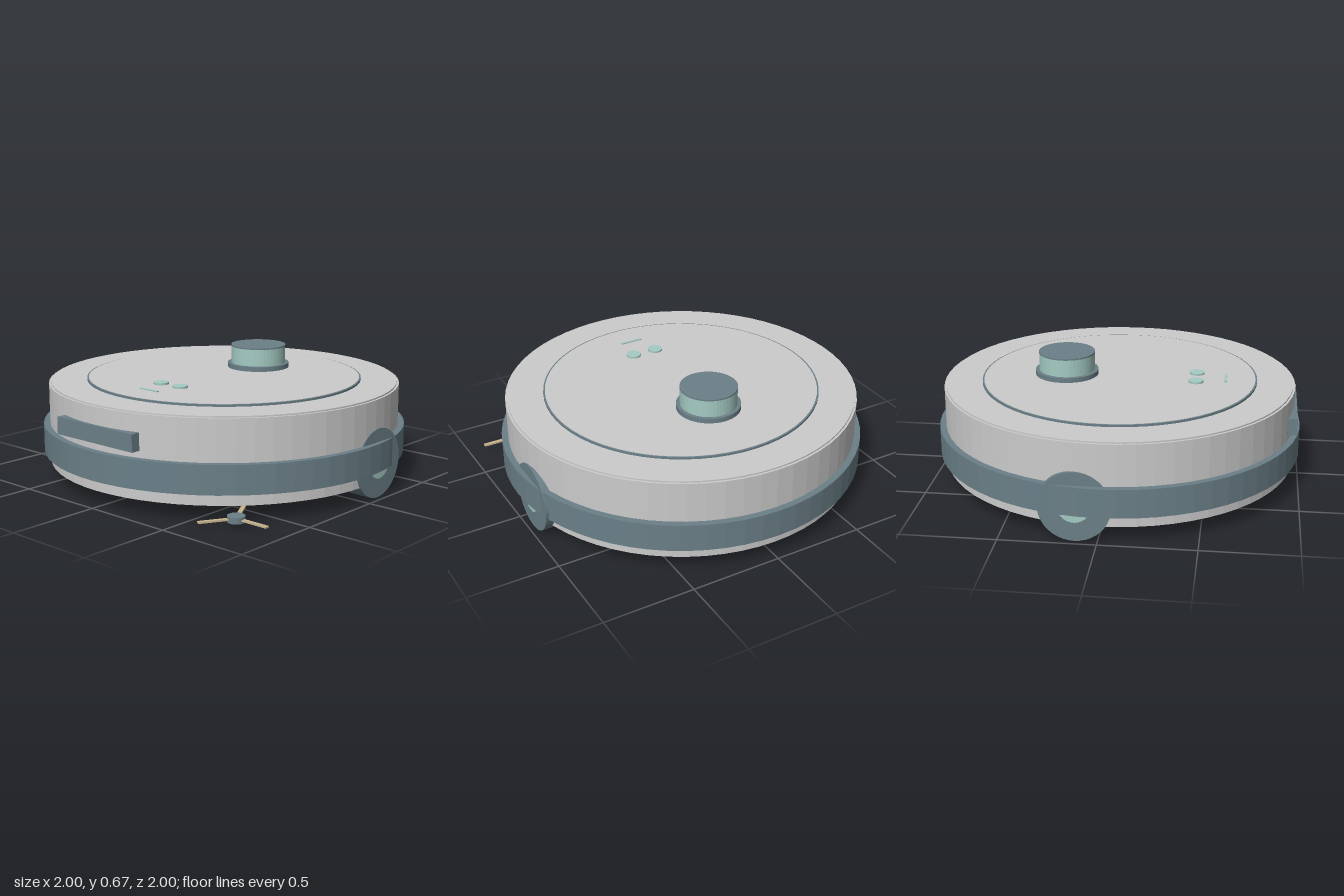
import * as THREE from 'three';

const SEG = 64;
const mat = (color) => new THREE.MeshStandardMaterial({ color, flatShading: true });

export function createModel() {
  const grey = mat(0xcccccc), slate = mat(0x6b8088), teal = mat(0xa5cbc4), tan = mat(0xc8b490);
  const model = new THREE.Group();

  const add = (name, geometry, material, x = 0, y = 0, z = 0, parent = model) => {
    const mesh = new THREE.Mesh(geometry, material);
    mesh.name = name;
    mesh.position.set(x, y, z);
    parent.add(mesh);
    return mesh;
  };
  // Upright disc between two heights
  const disc = (name, r, y0, y1, material, x = 0, z = 0, seg = SEG, parent = model) =>
    add(name, new THREE.CylinderGeometry(r, r, y1 - y0, seg), material, x, (y0 + y1) / 2, z, parent);
  // Lathe from [radius, height] pairs, bottom to top
  const lathe = (pairs) => new THREE.LatheGeometry(pairs.map(([r, y]) => new THREE.Vector2(r, y)), SEG);

  // Round body with a slightly stepped top edge
  add('body', lathe([[0, 0.087], [0.965, 0.087], [0.965, 0.525], [0.953, 0.525], [0.953, 0.533], [0, 0.533]]), grey);

  // Bumper band around the body
  add('bumper', lathe([[0.95, 0.15], [1, 0.15], [1, 0.303], [0.95, 0.303]]), slate);

  // Top cover with its dark seam
  disc('coverSeam', 0.757, 0.53, 0.544, slate);
  disc('cover', 0.748, 0.53, 0.546, grey);

  // Sensor turret
  const tz = -0.295;
  disc('turretBase', 0.174, 0.54, 0.572, slate, 0, tz, 48);
  disc('turret', 0.154, 0.57, 0.668, teal, 0, tz, 48);
  disc('turretCap', 0.155, 0.667, 0.675, slate, 0, tz, 48);

  // Buttons and status light
  for (const s of [-1, 1]) disc('button', 0.041, 0.54, 0.557, teal, s * 0.07, 0.425, 24);
  add('statusLight', new THREE.BoxGeometry(0.13, 0.01, 0.014), teal, 0, 0.547, 0.585);

  // Front sensor window
  add('frontSensor', new THREE.BoxGeometry(0.55, 0.092, 0.05), slate, 0, 0.386, 0.953);

  // Drive wheels
  for (const s of [-1, 1]) {
    const wheel = new THREE.Group();
    wheel.name = s > 0 ? 'leftWheel' : 'rightWheel';
    wheel.position.set(s * 0.911, 0.189, -0.115);
    const tyre = add('tyre', new THREE.CylinderGeometry(0.185, 0.185, 0.118, 40), slate, 0, 0, 0, wheel);
    const hub = add('hub', new THREE.CylinderGeometry(0.082, 0.082, 0.134, 28), teal, 0, 0, 0, wheel);
    tyre.rotation.z = hub.rotation.z = Math.PI / 2;
    model.add(wheel);
  }

  // Caster ball
  add('caster', new THREE.SphereGeometry(0.046, 24, 16), slate, 0, 0.049, 0.62);

  // Side brush with three arms
  const brush = new THREE.Group();
  brush.name = 'sideBrush';
  brush.position.set(0.72, 0.04, 0.717);
  disc('brushHub', 0.045, -0.016, 0.016, slate, 0, 0, 20, brush);
  for (let i = 0; i < 3; i++) {
    const arm = new THREE.Group();
    arm.rotation.y = (i * Math.PI * 2) / 3;
    add('brushArm', new THREE.BoxGeometry(0.19, 0.009, 0.022), tan, 0.1, 0, 0, arm);
    brush.add(arm);
  }
  model.add(brush);

  return model;
}
